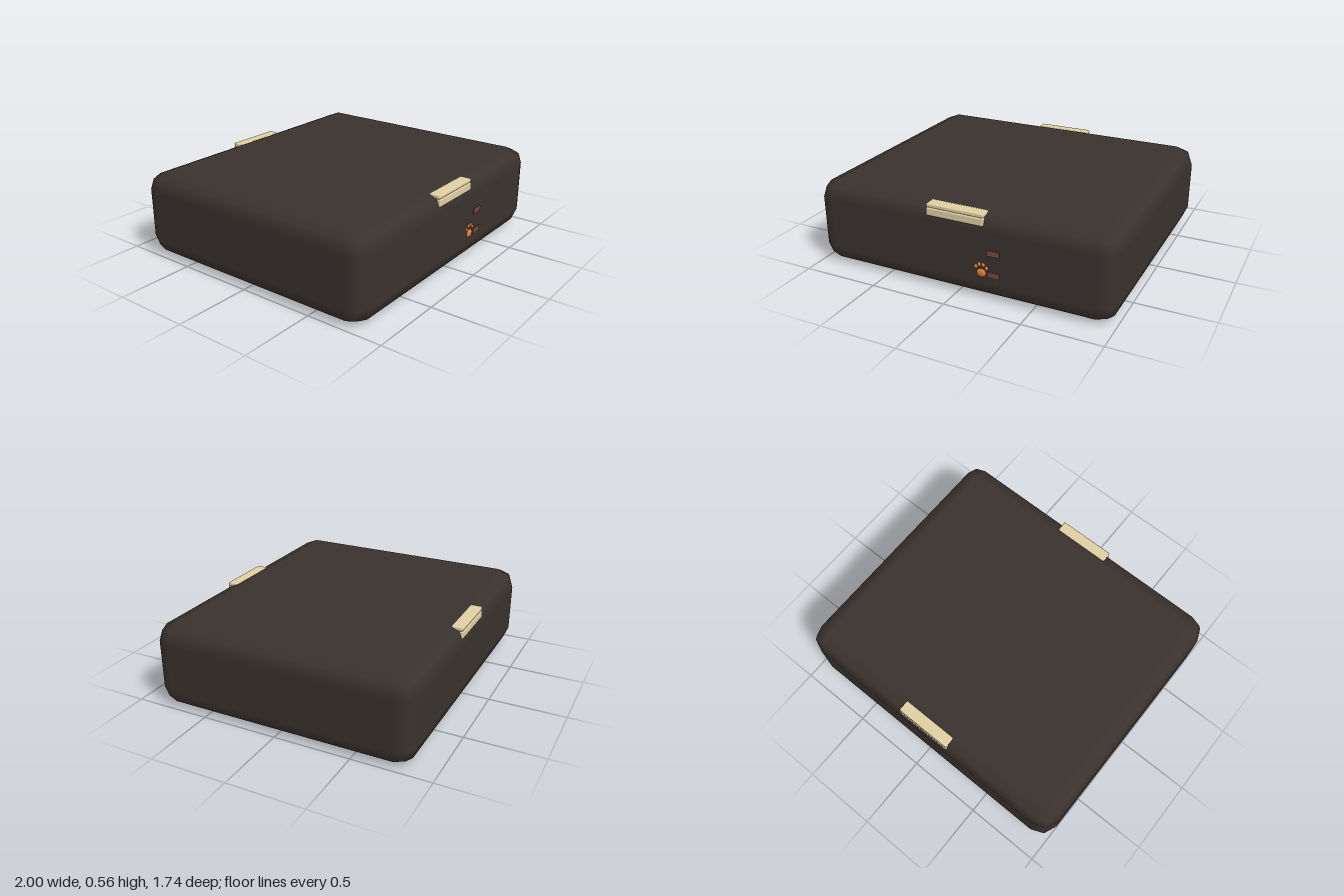
import * as THREE from 'three';
import { RoundedBoxGeometry } from 'three/addons/geometries/RoundedBoxGeometry.js';

const mat = (color) => new THREE.MeshStandardMaterial({ color });

export function createModel() {
  const model = new THREE.Group();
  model.name = 'case';
  const dark = mat(0x3a322e), cream = mat(0xe0cfa4), brown = mat(0x6f4d3d), orange = mat(0xd9813a);

  const add = (parent, name, geometry, material, x, y, z) => {
    const mesh = new THREE.Mesh(geometry, material);
    mesh.name = name;
    mesh.position.set(x, y, z);
    parent.add(mesh);
    return mesh;
  };

  // Body with coarse, softly chamfered edges
  const midZ = -0.005;
  add(model, 'body', new RoundedBoxGeometry(2, 0.56, 1.726, 1, 0.12), dark, 0, 0.28, midZ);

  // Two-leaf clasps on the upper front and back edges
  const topLeaf = new RoundedBoxGeometry(0.38, 0.026, 0.076, 2, 0.008);
  const sideLeaf = new RoundedBoxGeometry(0.38, 0.05, 0.04, 2, 0.008);
  for (const [name, turn] of [['frontClasp', 0], ['backClasp', Math.PI]]) {
    const clasp = new THREE.Group();
    clasp.name = name;
    clasp.position.z = midZ;
    clasp.rotation.y = turn;
    add(clasp, 'claspTopLeaf', topLeaf, cream, 0, 0.538, 0.812);
    add(clasp, 'claspSideLeaf', sideLeaf, cream, 0, 0.5, 0.834);
    model.add(clasp);
  }

  // Small slots on the front face
  for (const y of [0.322, 0.182])
    add(model, 'frontSlot', new THREE.BoxGeometry(0.08, 0.036, 0.014), brown, 0.26, y, 0.858);

  // Paw ornament: one pad and four toes
  const paw = new THREE.Group();
  paw.name = 'pawOrnament';
  paw.position.set(0.18, 0.184, 0.858);
  model.add(paw);
  const ball = new THREE.SphereGeometry(1, 20, 14);
  add(paw, 'pawPad', ball, orange, 0, 0, 0).scale.set(0.031, 0.027, 0.013);
  for (const [x, y] of [[-0.035, 0.035], [-0.013, 0.053], [0.014, 0.053], [0.035, 0.035]])
    add(paw, 'pawToe', ball, orange, x, y, 0).scale.set(0.0115, 0.0125, 0.01);

  return model;
}
